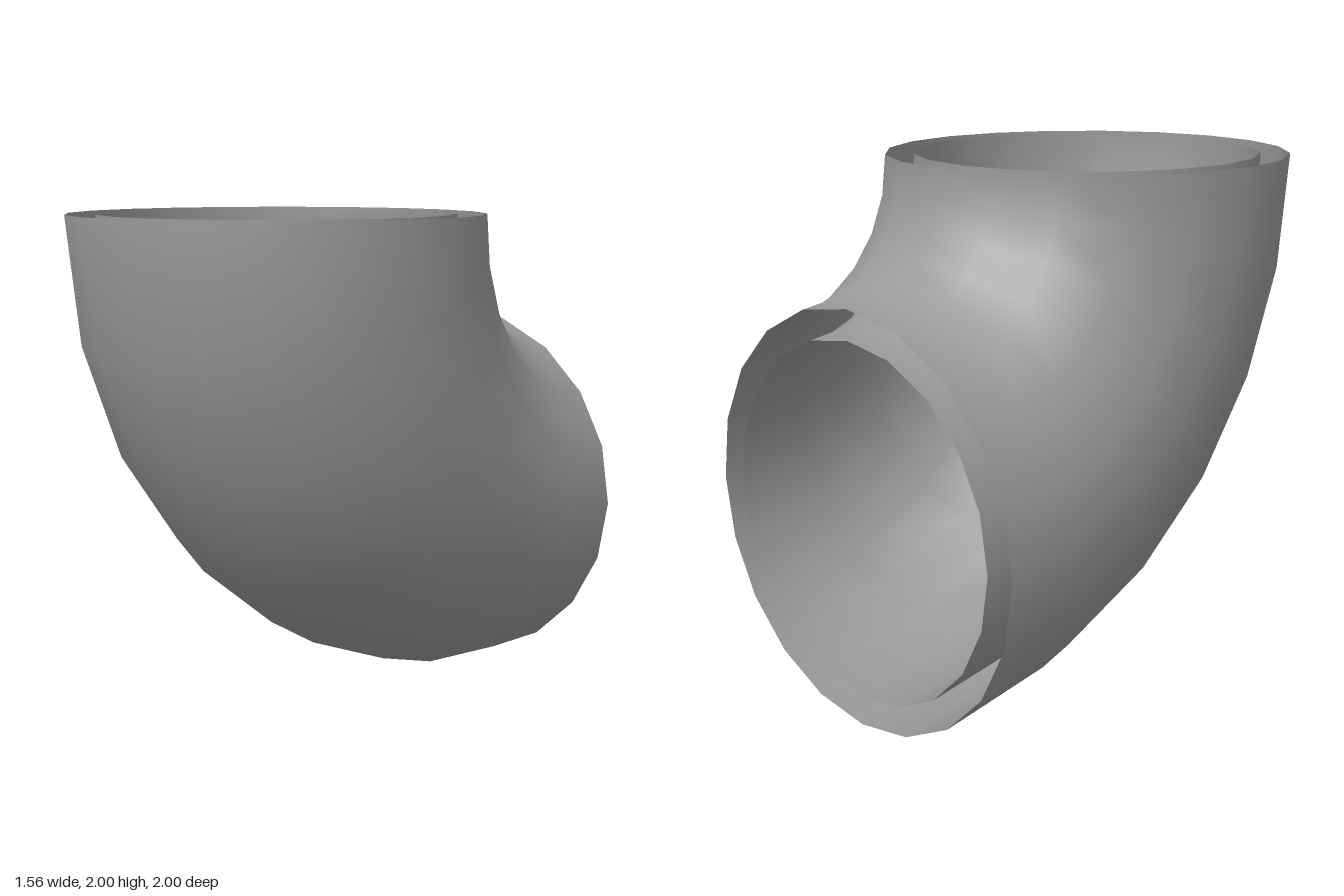
import * as THREE from 'three';

const BEND_RADIUS = 1.218; // bend centre to pipe centre line
const SIDES = 20;
const BEND_STEPS = 6;

// One quarter-turn pipe wall, from the upward opening round to the back opening
function pipeWall(name, radius, material) {
  const geometry = new THREE.TorusGeometry(BEND_RADIUS, radius, SIDES, BEND_STEPS, Math.PI / 2);
  geometry.rotateZ(-Math.PI / 2);
  geometry.rotateY(-Math.PI / 2);
  geometry.translate(0, 2, -1);
  const mesh = new THREE.Mesh(geometry, material);
  mesh.name = name;
  return mesh;
}

export function createModel() {
  const group = new THREE.Group();
  group.name = 'pipeElbow';
  // The gap between the walls is open at both ends, so both sides show
  const material = new THREE.MeshStandardMaterial({ color: 0x999999, side: THREE.DoubleSide });
  group.add(pipeWall('outerWall', 0.782, material));
  group.add(pipeWall('innerWall', 0.671, material));
  return group;
}
